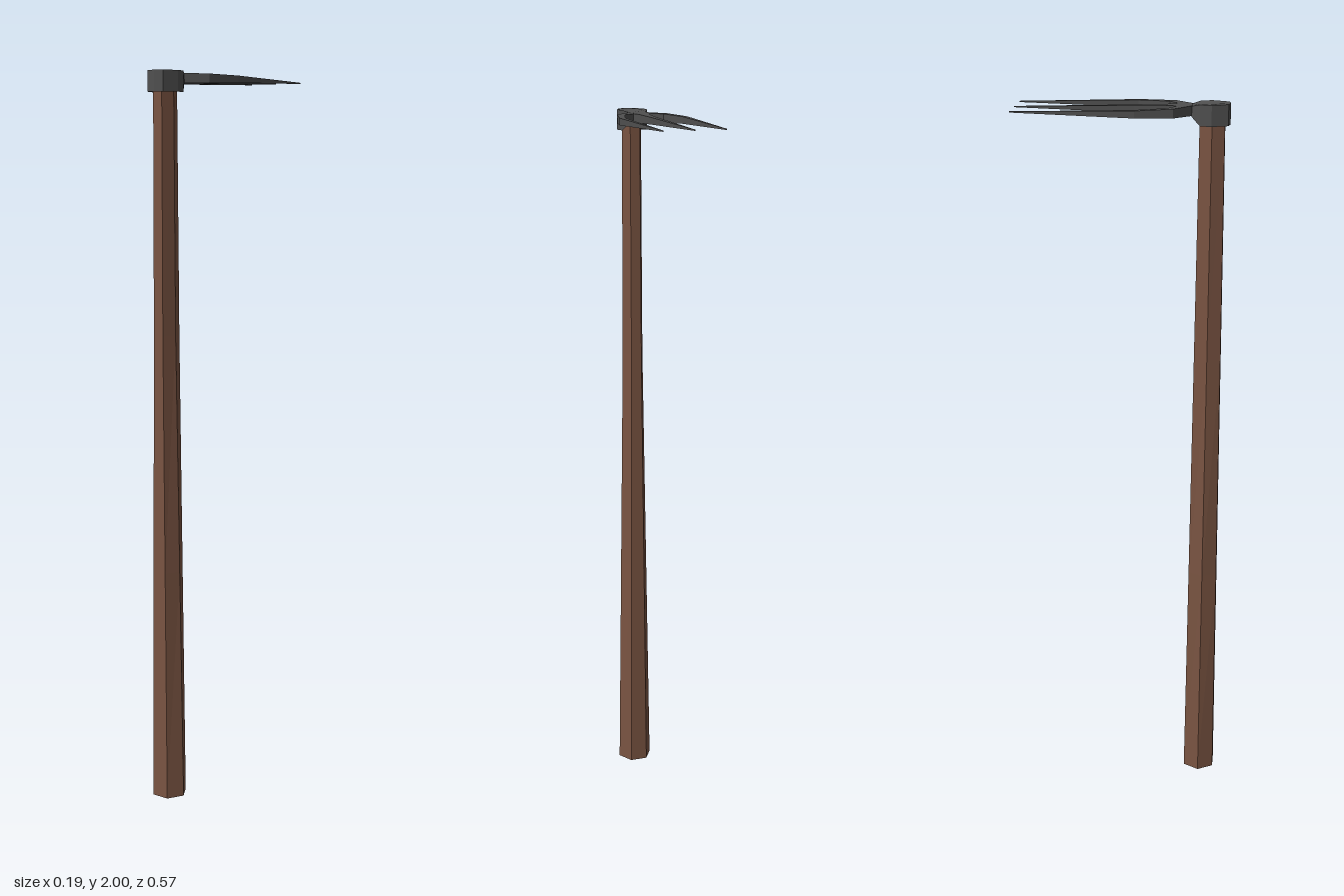
import * as THREE from 'three';

const HANDLE_Z = 0.236;

// Mirrors a right-hand outline of [x, z] points and extrudes it upward from y = 0
function symmetricPlate(half, height) {
  const mirrored = half.filter(([x]) => x > 0).reverse().map(([x, z]) => [-x, z]);
  const outline = [...half, ...mirrored].map(([x, z]) => new THREE.Vector2(x, -z));
  const geo = new THREE.ExtrudeGeometry(new THREE.Shape(outline), { depth: height, bevelEnabled: false });
  return geo.rotateX(-Math.PI / 2);
}

// Moves every vertex by a rule and gives the result flat facets
function reshape(geo, rule) {
  const flat = geo.index ? geo.toNonIndexed() : geo;
  const pos = flat.attributes.position;
  const v = new THREE.Vector3();
  for (let i = 0; i < pos.count; i++) {
    rule(v.fromBufferAttribute(pos, i));
    pos.setXYZ(i, v.x, v.y, v.z);
  }
  flat.computeVertexNormals();
  return flat;
}

export function createModel() {
  const group = new THREE.Group();
  const wood = new THREE.MeshStandardMaterial({ color: 0x7a5442 });
  wood.name = 'brown wood';
  const iron = new THREE.MeshStandardMaterial({ color: 0x505050 });
  iron.name = 'dark iron';

  const add = (name, geo, material) => {
    const mesh = new THREE.Mesh(geo, material);
    mesh.name = name;
    group.add(mesh);
  };

  // Six-sided handle, narrowing more in width than in depth
  const shaft = new THREE.CylinderGeometry(1, 1, 1.96, 6, 3, false, Math.PI / 6);
  shaft.translate(0, 0.98, 0);
  add('handle', reshape(shaft, (v) => {
    const t = v.y / 1.96;
    v.x *= THREE.MathUtils.lerp(0.05, 0.028, Math.min(1, t * 1.35));
    v.z = HANDLE_Z + v.z * THREE.MathUtils.lerp(0.05, 0.038, t);
  }), wood);

  // Iron collar over the handle, pinched into a neck at the back
  const collar = symmetricPlate(
    [[0, 0.283], [0.025, 0.278], [0.042, 0.235], [0.036, 0.205], [0.022, 0.182]], 0.055);
  add('collar', reshape(collar, (v) => {
    const atNeck = v.z < 0.19;
    if (atNeck) v.y = v.y > 0.02 ? 0.049 : 0.022;
    v.y += 1.945;
  }), iron);

  // Three tines in one forked plate, thinning toward the points
  const tip = -0.285;
  const fork = symmetricPlate([
    [0.022, 0.183], [0.072, 0.137], [0.096, 0.04], [0.085, tip], [0.083, tip],
    [0.081, 0.035], [0.056, 0.12], [0.022, 0.146], [0.014, 0.118], [0.008, 0.03], [0.001, tip],
  ], 1);
  add('tines', reshape(fork, (v) => {
    const t = (v.z - tip) / (0.183 - tip);
    v.y = 1.982 + (v.y - 0.5) * THREE.MathUtils.lerp(0.003, 0.026, t);
  }), iron);

  return group;
}
